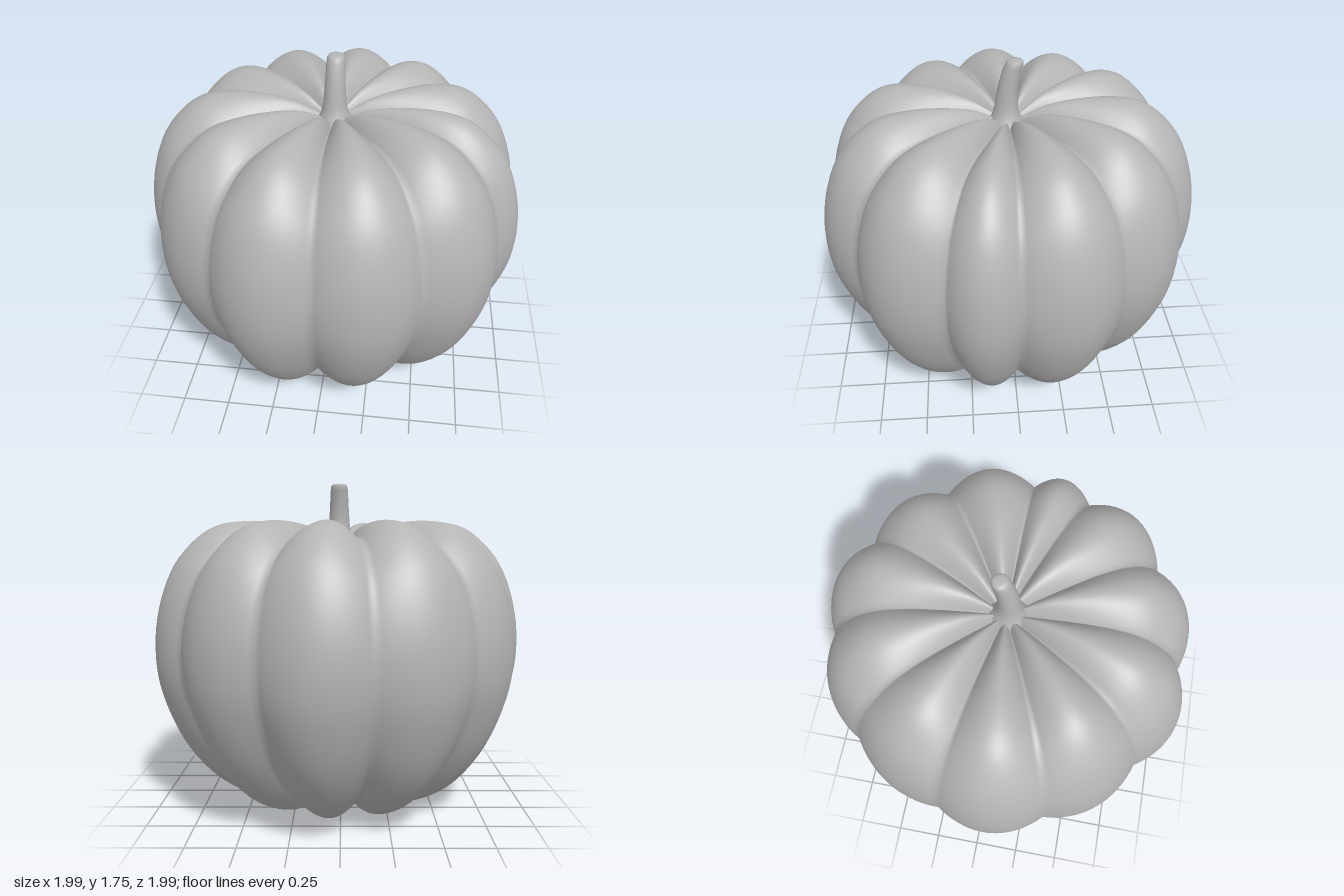
import * as THREE from 'three';

// Closed surface from rings: point(i, j) gives ring j's i-th corner, wrapping around i.
function loftRings(around, rings, point) {
  const positions = [], index = [];
  for (let j = 0; j < rings; j++) {
    for (let i = 0; i < around; i++) positions.push(...point(i, j));
  }
  for (let j = 0; j < rings - 1; j++) {
    for (let i = 0; i < around; i++) {
      const a = j * around + i, b = j * around + (i + 1) % around;
      index.push(a, a + around, b, b, a + around, b + around);
    }
  }
  const geometry = new THREE.BufferGeometry();
  geometry.setAttribute('position', new THREE.Float32BufferAttribute(positions, 3));
  geometry.setIndex(index);
  geometry.computeVertexNormals();
  return geometry;
}

const spline = (points) => new THREE.SplineCurve(points.map(([r, y]) => new THREE.Vector2(r, y)));

// Profiles (radius, height) along a rib's crest and along the groove between ribs
const crest = spline([
  [0, 0.07], [0.08, 0.02], [0.22, 0], [0.45, 0.025], [0.68, 0.15], [0.86, 0.37],
  [0.97, 0.64], [1, 0.87], [0.975, 1.1], [0.9, 1.31], [0.79, 1.45], [0.67, 1.53],
  [0.52, 1.555], [0.35, 1.545], [0.2, 1.51], [0.1, 1.46], [0, 1.4],
]);
const groove = spline([
  [0, 0.08], [0.08, 0.07], [0.22, 0.07], [0.42, 0.1], [0.62, 0.22], [0.79, 0.42],
  [0.9, 0.66], [0.935, 0.87], [0.91, 1.08], [0.84, 1.26], [0.73, 1.38], [0.62, 1.44],
  [0.48, 1.46], [0.33, 1.45], [0.2, 1.43], [0.1, 1.41], [0, 1.4],
]);

// Groove directions in degrees from +x towards +z, and the crest radius of the rib after each
const grooveAngles = [0.3, 22.2, 57, 90, 122.8, 157.4, 191.9, 226.3, 260.4, 293.9, 327.2];
const ribRadii = [1.01, 1.025, 1.015, 1.015, 0.985, 1, 0.97, 0.99, 1.008, 0.995, 1.015];

function createBody() {
  const perRib = 18, rings = 73;
  const ribs = grooveAngles.length;
  return loftRings(ribs * perRib, rings, (i, j) => {
    const rib = Math.floor(i / perRib), f = (i % perRib) / perRib;
    const start = grooveAngles[rib];
    const end = rib + 1 < ribs ? grooveAngles[rib + 1] : grooveAngles[0] + 360;
    const angle = THREE.MathUtils.degToRad(start + (end - start) * f);
    const t = j / (rings - 1);
    const c = crest.getPoint(t), g = groove.getPoint(t);
    // Rounded bulge across the rib; narrow ribs rise a little less
    const bulge = Math.sin(Math.PI * f) ** 0.9;
    const rise = end - start < 30 ? 0.8 : 1;
    const r = g.x + (c.x * ribRadii[rib] - g.x) * bulge;
    const y = g.y + (c.y - g.y) * bulge * rise;
    return [r * Math.cos(angle), y, r * Math.sin(angle)];
  });
}

// Stem sections: height, backward lean, radius; flared foot and rounded tip
const stemSections = [
  [1.38, 0.012, 0.11], [1.42, 0.014, 0.095], [1.45, 0.016, 0.075], [1.5, 0.015, 0.061],
  [1.56, 0.011, 0.056], [1.62, 0.003, 0.052], [1.68, -0.01, 0.049], [1.72, -0.022, 0.047],
  [1.742, -0.029, 0.044], [1.752, -0.032, 0.036], [1.755, -0.033, 0.022], [1.755, -0.033, 0],
];

function createStem() {
  const sides = 20;
  return loftRings(sides, stemSections.length, (i, j) => {
    const [y, z, radius] = stemSections[j];
    const a = (i / sides) * Math.PI * 2;
    return [0.008 + radius * Math.cos(a), y, z + radius * Math.sin(a)];
  });
}

export function createModel() {
  const group = new THREE.Group();
  group.name = 'pumpkin';
  const grey = new THREE.MeshStandardMaterial({ color: 0xb4b4b4 });
  grey.name = 'plain grey';

  const body = new THREE.Mesh(createBody(), grey);
  body.name = 'ribbedBody';
  const stem = new THREE.Mesh(createStem(), grey);
  stem.name = 'stem';
  group.add(body, stem);
  return group;
}
